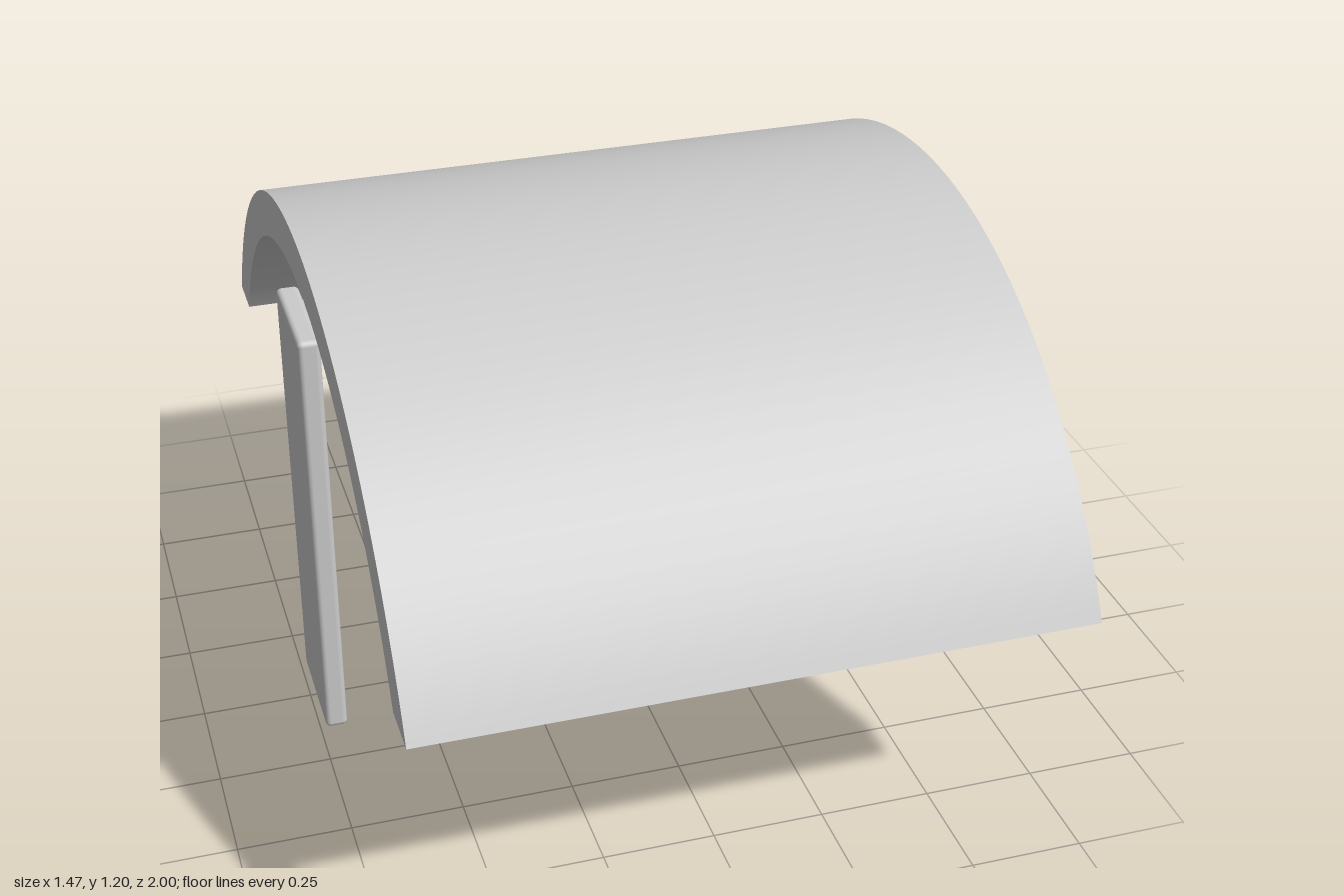
import * as THREE from 'three';
import { toCreasedNormals } from 'three/addons/utils/BufferGeometryUtils.js';
import { RoundedBoxGeometry } from 'three/addons/geometries/RoundedBoxGeometry.js';

export function createModel() {
  const model = new THREE.Group();
  model.name = 'archedShelter';
  const grey = new THREE.MeshStandardMaterial({ color: 0xcccccc });
  grey.name = 'light grey';

  // Arched roof: two concentric arcs cut off level at the eaves
  const centreY = 0.07, eaveY = 0.585, outerR = 1.125, innerR = 1.02;
  const xMin = -0.71, xMax = 0.737;
  const outerA = Math.asin((eaveY - centreY) / outerR);
  const innerA = Math.asin((eaveY - centreY) / innerR);
  const section = new THREE.Shape();
  section.absarc(0, centreY, outerR, outerA, Math.PI - outerA, false);
  section.absarc(0, centreY, innerR, Math.PI - innerA, innerA, true);
  section.closePath();
  const roofGeometry = new THREE.ExtrudeGeometry(section, {
    depth: xMax - xMin, bevelEnabled: false, curveSegments: 24,
  });
  roofGeometry.rotateY(Math.PI / 2).translate(xMin, 0, 0);
  const roof = new THREE.Mesh(toCreasedNormals(roofGeometry, 0.5), grey);
  roof.name = 'archedRoof';
  model.add(roof);

  // Upright panel standing below one end of the roof
  const panel = new THREE.Mesh(new RoundedBoxGeometry(0.05, 1.01, 0.274, 4, 0.012), grey);
  panel.name = 'uprightPanel';
  panel.position.set(-0.712, 0.505, 0);
  model.add(panel);

  return model;
}
